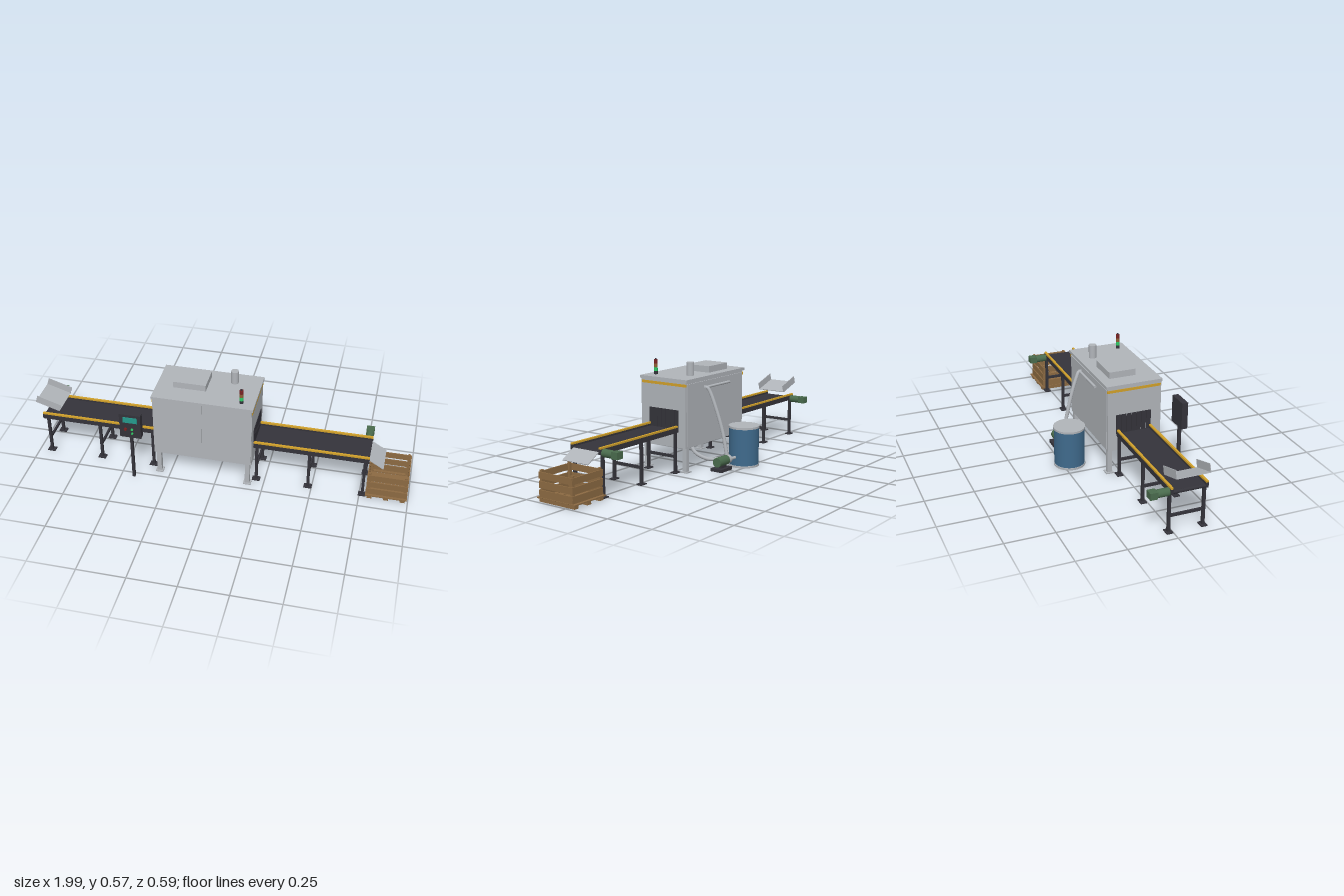
import * as THREE from 'three';

const mat = (name, color) => {
  const m = new THREE.MeshStandardMaterial({ color });
  m.name = name;
  return m;
};

export function createModel() {
  const steel = mat('steel', 0xb0b4b9), dark = mat('dark', 0x34333a), yellow = mat('yellow', 0xd0a02a);
  const blue = mat('blue', 0x3f6a8c), green = mat('motor green', 0x4a6b4d), wood = mat('wood', 0x8c6a42);
  const red = mat('lamp red', 0x7a2222), lampGreen = mat('lamp green', 0x2ecc66);
  const amber = mat('lamp amber', 0x8f5f35), teal = mat('screen teal', 0x259a8c);

  const model = new THREE.Group();
  const group = (name, parent = model) => {
    const g = new THREE.Group();
    g.name = name;
    parent.add(g);
    return g;
  };
  const add = (parent, name, geo, material) => {
    const m = new THREE.Mesh(geo, material);
    m.name = name;
    parent.add(m);
    return m;
  };
  // Box from its minimum and maximum on each axis
  const box = (parent, name, material, x0, x1, y0, y1, z0, z1) => {
    const m = add(parent, name, new THREE.BoxGeometry(x1 - x0, y1 - y0, z1 - z0), material);
    m.position.set((x0 + x1) / 2, (y0 + y1) / 2, (z0 + z1) / 2);
    return m;
  };
  // Cylinder centred at a point, along the given axis
  const cyl = (parent, name, material, r, len, x, y, z, axis = 'y') => {
    const m = add(parent, name, new THREE.CylinderGeometry(r, r, len, 32), material);
    m.position.set(x, y, z);
    if (axis === 'x') m.rotation.z = Math.PI / 2;
    if (axis === 'z') m.rotation.x = Math.PI / 2;
    return m;
  };
  const hose = (parent, name, r, pts) => {
    const curve = new THREE.CatmullRomCurve3(pts.map(p => new THREE.Vector3(...p)));
    return add(parent, name, new THREE.TubeGeometry(curve, 40, r, 14), steel);
  };

  // Washing cabinet
  const cabinet = group('cabinet');
  const cx = -0.072, X0 = -0.332, X1 = 0.187;
  box(cabinet, 'body', steel, X0, X1, 0.13, 0.474, -0.073, 0.21);
  box(cabinet, 'roof', steel, -0.337, 0.192, 0.473, 0.488, -0.083, 0.218);
  box(cabinet, 'leftDoor', steel, cx + 0.0015, X1 - 0.002, 0.148, 0.471, 0.209, 0.215);
  box(cabinet, 'rightDoor', steel, X0 + 0.002, cx - 0.0015, 0.148, 0.471, 0.209, 0.215);
  box(cabinet, 'backPanel', steel, X0 + 0.01, X1 - 0.01, 0.14, 0.463, -0.078, -0.072);
  box(cabinet, 'roofHatch', steel, -0.246, -0.075, 0.487, 0.522, -0.032, 0.11);
  cyl(cabinet, 'exhaustPipe', steel, 0.02, 0.072, 0.052, 0.522, -0.004);
  for (const x of [-0.31, 0.165]) {
    for (const z of [0.193, -0.058]) {
      box(cabinet, 'leg', steel, x - 0.012, x + 0.012, 0, 0.131, z - 0.012, z + 0.012);
      box(cabinet, 'footPlate', steel, x - 0.02, x + 0.02, 0, 0.006, z - 0.021, z + 0.021);
    }
  }
  // Stripes and strip curtains on both ends
  for (const [x, s] of [[X0, -1], [X1, 1]]) {
    box(cabinet, 'stripe', yellow, x - 0.002, x + 0.002, 0.45, 0.464, -0.077, 0.21);
    for (let i = 0; i < 7; i++) {
      const z = -0.029 + i * 0.0272;
      box(cabinet, 'curtainStrip', dark, x + s * 0.001 - 0.002, x + s * 0.001 + 0.002, 0.222, 0.326, z, z + 0.025);
    }
  }

  // Signal tower
  const tower = group('signalTower');
  const lamps = [['base', dark, 0.487, 0.505], ['greenLamp', lampGreen, 0.505, 0.525],
    ['amberLamp', amber, 0.525, 0.545], ['redLamp', red, 0.545, 0.566]];
  for (const [name, m, y0, y1] of lamps) cyl(tower, name, m, 0.01, y1 - y0, 0.123, (y0 + y1) / 2, 0.168);
  cyl(tower, 'cap', dark, 0.005, 0.005, 0.123, 0.5685, 0.168);

  // Conveyors
  const zc = 0.068;
  const conveyor = (name, x0, x1, legs, motorX) => {
    const g = group(name);
    box(g, 'belt', dark, x0 + 0.008, x1 - 0.008, 0.21, 0.228, zc - 0.083, zc + 0.083);
    for (const x of [x0 + 0.009, x1 - 0.009]) cyl(g, 'roller', dark, 0.009, 0.164, x, 0.219, zc, 'z');
    for (const s of [-1, 1]) {
      const z = zc + s * 0.088;
      box(g, 'sideRail', dark, x0, x1, 0.211, 0.237, z - 0.007, z + 0.007);
      box(g, 'guardRail', yellow, x0, x1, 0.236, 0.246, z - 0.006, z + 0.006);
      for (const x of legs) {
        box(g, 'leg', dark, x - 0.007, x + 0.007, 0, 0.212, z - 0.007, z + 0.007);
        box(g, 'footPlate', dark, x - 0.021, x + 0.021, 0, 0.006, z - 0.016, z + 0.016);
      }
    }
    for (const x of legs) box(g, 'crossBar', dark, x - 0.005, x + 0.005, 0.08, 0.094, zc - 0.085, zc + 0.085);
    // Drive motor
    cyl(g, 'motor', green, 0.02, 0.062, motorX, 0.218, -0.058, 'z');
    box(g, 'gearbox', green, motorX - 0.021, motorX + 0.021, 0.201, 0.236, -0.126, -0.088);
  };
  conveyor('infeedConveyor', -0.963, X0, [-0.935, -0.645, -0.355], -0.94);
  conveyor('outfeedConveyor', X1, 0.785, [0.205, 0.48, 0.765], 0.763);

  // Infeed tray, tilted towards the belt
  const tray = group('infeedTray');
  tray.position.set(-0.927, 0.306, zc);
  tray.rotation.z = -0.31;
  box(tray, 'trayFloor', steel, -0.068, 0.068, -0.021, -0.017, -0.086, 0.086);
  for (const s of [-1, 1]) box(tray, 'traySide', steel, -0.068, 0.068, -0.021, 0.021, s * 0.084 - 0.002, s * 0.084 + 0.002);

  // Discharge chute
  const chute = group('dischargeChute');
  chute.position.set(0.818, 0.201, zc);
  chute.rotation.z = -0.54;
  box(chute, 'chutePlate', steel, -0.047, 0.047, -0.002, 0.002, -0.08, 0.08);

  // Wooden crate
  const crate = group('crate');
  const kx = 0.888;
  for (const x of [-0.085, 0, 0.085]) box(crate, 'runner', wood, kx + x - 0.013, kx + x + 0.013, 0, 0.019, -0.043, 0.179);
  for (let i = 0; i < 6; i++) {
    const z = -0.051 + i * 0.0408;
    box(crate, 'floorBoard', wood, kx - 0.107, kx + 0.107, 0.018, 0.024, z, z + 0.033);
  }
  for (const s of [-1, 1]) {
    for (const t of [-1, 1]) {
      const x = kx + s * 0.092, z = zc + t * 0.095;
      box(crate, 'cornerPost', wood, x - 0.007, x + 0.007, 0.022, 0.155, z - 0.007, z + 0.007);
    }
    for (const [y0, y1] of [[0.025, 0.06], [0.069, 0.102], [0.114, 0.146]]) {
      const x = kx + s * 0.102, z = zc + s * 0.103;
      box(crate, 'endSlat', wood, x - 0.003, x + 0.003, y0, y1, zc - 0.104, zc + 0.104);
      box(crate, 'sideSlat', wood, kx - 0.102, kx + 0.102, y0, y1, z - 0.003, z + 0.003);
    }
  }

  // Control panel
  const panel = group('controlPanel');
  box(panel, 'post', dark, -0.438, -0.424, 0, 0.268, 0.266, 0.282);
  box(panel, 'case', dark, -0.487, -0.375, 0.266, 0.407, 0.257, 0.289);
  box(panel, 'screen', teal, -0.467, -0.392, 0.36, 0.392, 0.288, 0.293);
  for (const [x, y, m, r] of [[-0.455, 0.318, red, 0.008], [-0.42, 0.32, lampGreen, 0.006], [-0.42, 0.295, lampGreen, 0.005]])
    cyl(panel, 'button', m, r, 0.008, x, y, 0.292, 'z');

  // Chemical drum
  const drum = group('drum');
  cyl(drum, 'drumBody', blue, 0.079, 0.205, -0.145, 0.107, -0.211);
  cyl(drum, 'bottomRim', steel, 0.082, 0.011, -0.145, 0.0055, -0.211);
  cyl(drum, 'lid', steel, 0.082, 0.011, -0.145, 0.211, -0.211);

  // Pump with its hoses and spray manifold
  const pump = group('pump');
  box(pump, 'pumpBase', dark, 0.003, 0.1, 0.01, 0.026, -0.237, -0.169);
  box(pump, 'pumpFoot', dark, 0.03, 0.075, 0.025, 0.04, -0.22, -0.186);
  cyl(pump, 'pumpMotor', green, 0.025, 0.085, 0.052, 0.058, -0.203, 'x');
  cyl(pump, 'pumpHead', steel, 0.022, 0.028, -0.003, 0.058, -0.203, 'x');
  hose(pump, 'drumHose', 0.008, [[-0.075, 0.055, -0.208], [-0.045, 0.055, -0.205], [-0.01, 0.058, -0.203]]);
  hose(pump, 'returnHose', 0.0095, [[-0.008, 0.058, -0.2], [0.015, 0.058, -0.165], [0.065, 0.062, -0.125], [0.1, 0.095, -0.072], [0.103, 0.135, -0.043]]);
  hose(pump, 'riserHose', 0.0095, [[-0.004, 0.065, -0.2], [-0.002, 0.2, -0.172], [0.01, 0.33, -0.135], [0.018, 0.405, -0.107], [0.024, 0.429, -0.093], [0.028, 0.43, -0.077]]);
  cyl(pump, 'manifold', steel, 0.007, 0.225, -0.077, 0.43, -0.085, 'x');

  return model;
}
